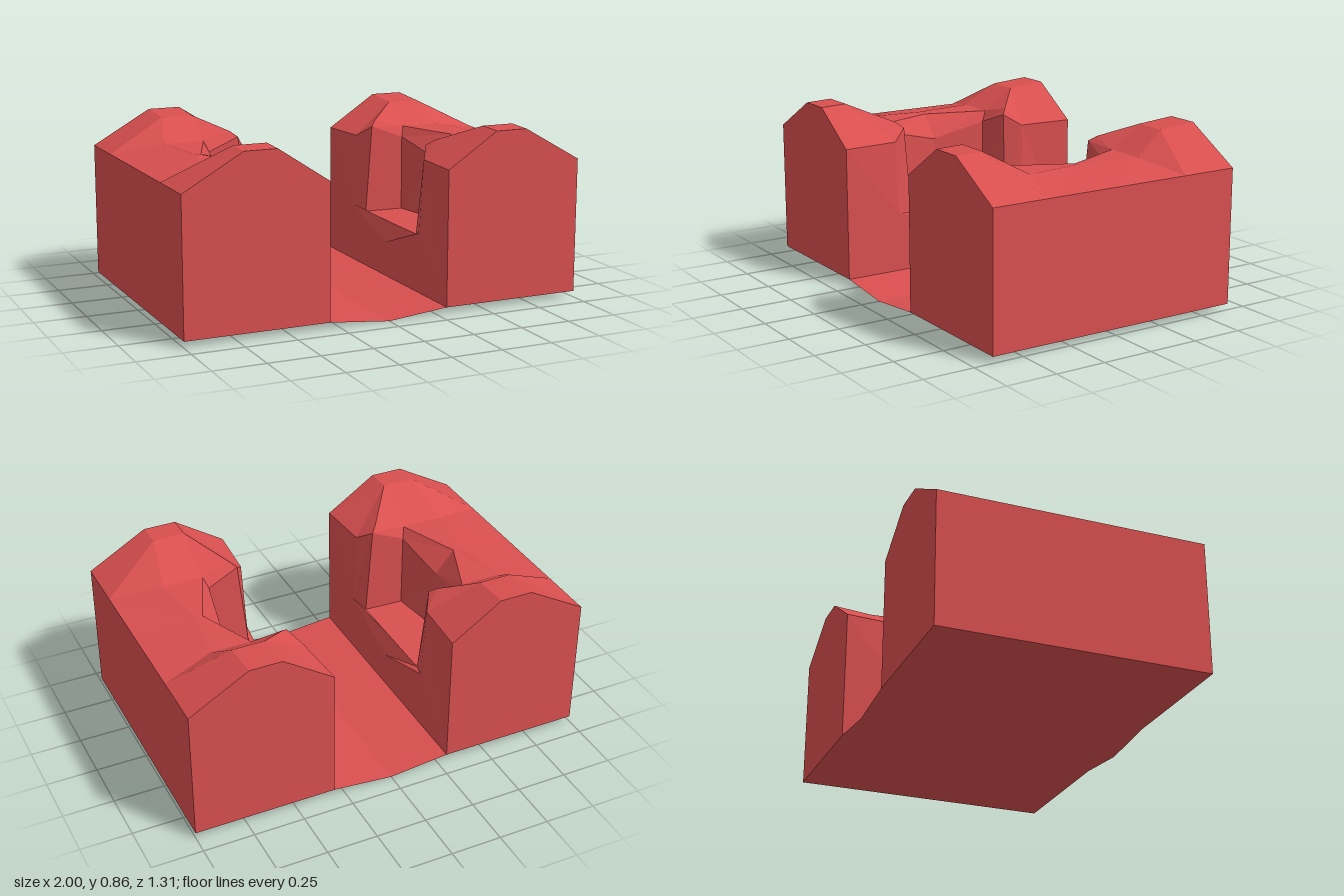
import * as THREE from 'three';

const END = 0.656;

// Named corners of a quarter block (x > 0, z > 0); only the ridge differs front to back
function corners(ridgeY, ridgeZ) {
  return {
    // end cap
    a0: [1, 0.03, END], a1: [1, 0.685, END], a2: [0.71, 0.85, END],
    a3: [0.55, 0.85, END], a4: [0.3, 0.685, END], a5: [0.3, 0.03, END],
    // raised ridge, then the lower saddle
    r2: [0.71, ridgeY, ridgeZ], r3: [0.55, ridgeY, ridgeZ],
    t1: [1, 0.685, 0.375], m2: [0.75, 0.73, 0.3],
    // middle plane
    n0: [1, 0.03, 0], n1: [1, 0.685, 0], n2: [0.71, 0.73, 0], n5: [0.3, 0.03, 0],
    // pocket rim
    P: [0.67, 0.725, 0], A: [0.55, 0.73, 0.3], B: [0.4, 0.765, 0.325],
    C: [0.318, 0.685, 0.375], L: [0.3, 0.325, 0.37], Lm: [0.3, 0.2, 0],
    // pocket interior
    W: [0.53, 0.68, 0.27], Wm: [0.575, 0.61, 0], Wf: [0.53, 0.3, 0.27], Wfm: [0.57, 0.3, 0],
    S: [0.37, 0.74, 0.295], Sf: [0.33, 0.3, 0.28], Sfm: [0.33, 0.3, 0],
    // channel centre line
    f0: [0, 0, 0], fE: [0, 0, END],
  };
}

const BLOCK_FACES = [
  'a0 a1 a2 a3 a4 a5', 'a0 n0 n1 t1 a1', 'a0 a5 n5 n0',          // end, outer side, base
  'a1 t1 r2 a2', 'a2 r2 r3 a3', 'a3 r3 C a4',                    // raised top
  't1 m2 r2', 'r2 m2 A r3', 'r3 A B', 'r3 B C',                  // slope down
  't1 n1 n2 m2', 'm2 n2 P A',                                    // saddle
  'a5 a4 C L', 'n5 a5 L Lm',                                     // inner wall
  'Wfm Wf W Wm', 'Wm W A P', 'Wf Wfm Sfm Sf', 'Sf Sfm Lm L',     // pocket back, rim, floor, lip
  'Wf Sf S W', 'Sf L C S', 'W S B A', 'S C B',                   // pocket side
];
const FLOOR_FACES = ['a5 n5 f0 fE'];

// Adds the quarter's polygons as triangle fans, reversing them when mirrored
function addQuarter(out, faces, sx, sz) {
  const pts = sz > 0 ? corners(0.855, 0.525) : corners(0.835, 0.46);
  for (const face of faces) {
    const poly = face.split(' ').map((k) => [pts[k][0] * sx, pts[k][1], pts[k][2] * sz]);
    if (sx * sz < 0) poly.reverse();
    for (let i = 1; i < poly.length - 1; i++) out.push(...poly[0], ...poly[i], ...poly[i + 1]);
  }
}

function makeMesh(name, faces, sides, material) {
  const out = [];
  for (const sx of sides) for (const sz of [1, -1]) addQuarter(out, faces, sx, sz);
  const geometry = new THREE.BufferGeometry();
  geometry.setAttribute('position', new THREE.Float32BufferAttribute(out, 3));
  geometry.computeVertexNormals();
  const mesh = new THREE.Mesh(geometry, material);
  mesh.name = name;
  return mesh;
}

export function createModel() {
  const group = new THREE.Group();
  group.name = 'pocketedChannel';
  const red = new THREE.MeshStandardMaterial({ color: 0xd94f4f, flatShading: true, side: THREE.DoubleSide });
  group.add(
    makeMesh('leftBlock', BLOCK_FACES, [1], red),
    makeMesh('rightBlock', BLOCK_FACES, [-1], red),
    makeMesh('channelFloor', FLOOR_FACES, [1, -1], red),
  );
  return group;
}
